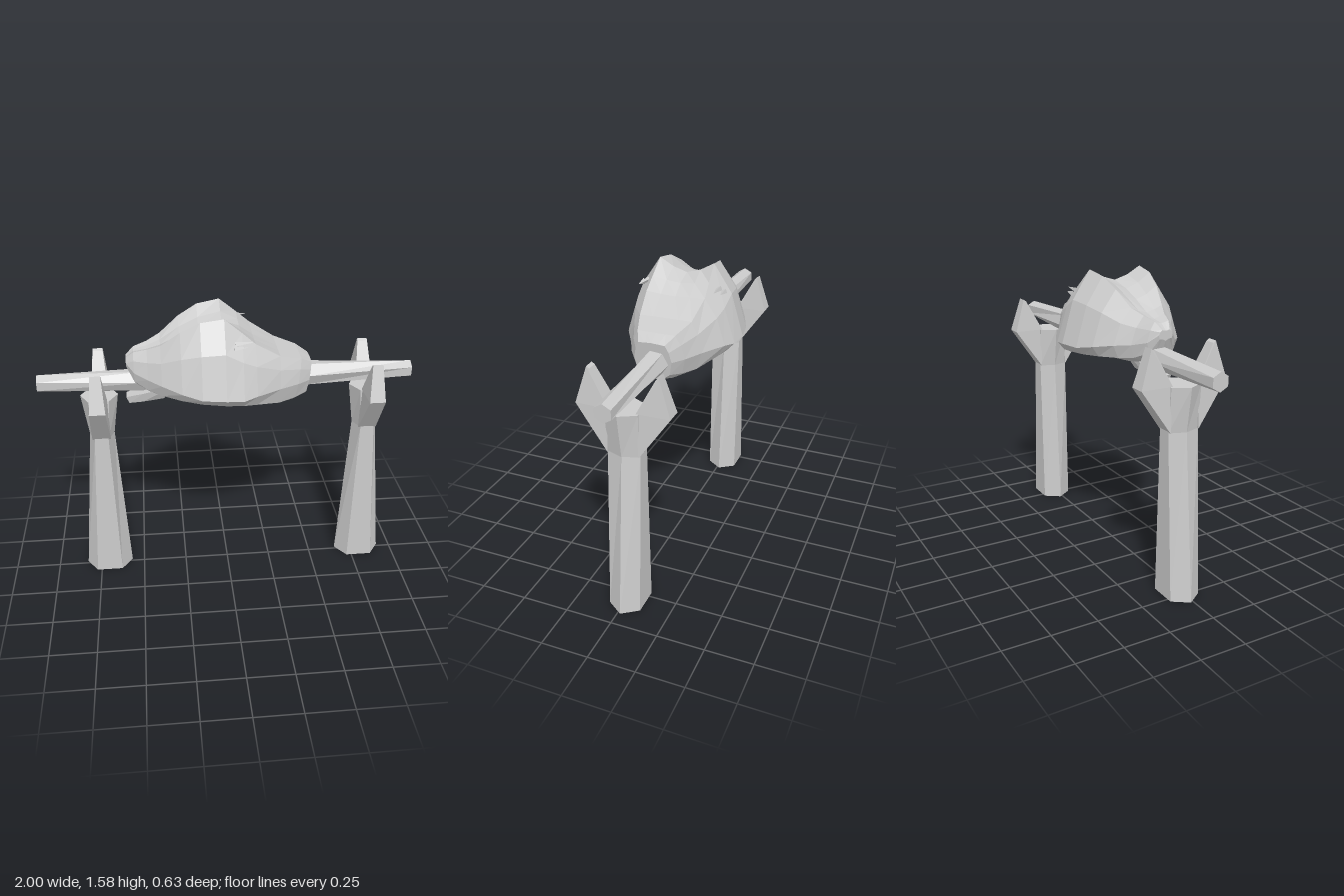
import * as THREE from 'three';
import { ConvexGeometry } from 'three/addons/geometries/ConvexGeometry.js';

const material = new THREE.MeshStandardMaterial({ color: 0xcccccc, flatShading: true, side: THREE.DoubleSide });

function add(parent, name, geometry) {
  const mesh = new THREE.Mesh(geometry, material);
  mesh.name = name;
  parent.add(mesh);
  return mesh;
}

// Skin closed rings of equal length and close both ends with a fan.
function loft(rings) {
  const n = rings[0].length;
  const pos = rings.flat();
  const index = [];
  for (let r = 0; r < rings.length - 1; r++) {
    for (let i = 0; i < n; i++) {
      const a = r * n + i, b = r * n + (i + 1) % n;
      index.push(a, a + n, b, b, a + n, b + n);
    }
  }
  const cap = (start, flip) => {
    const centre = new THREE.Vector3();
    for (let i = 0; i < n; i++) centre.addScaledVector(pos[start + i], 1 / n);
    const c = pos.push(centre) - 1;
    for (let i = 0; i < n; i++) {
      const a = start + i, b = start + (i + 1) % n;
      index.push(...(flip ? [c, b, a] : [c, a, b]));
    }
  };
  cap(0, false);
  cap((rings.length - 1) * n, true);
  const geometry = new THREE.BufferGeometry().setFromPoints(pos);
  geometry.setIndex(index);
  geometry.computeVertexNormals();
  return geometry;
}

const hull = (points) => new ConvexGeometry(points.map((p) => new THREE.Vector3(...p)));

// Roast: x, bottom, top groove, ridge z, ridge y, half width, height of widest point
const stations = [
  [-0.53, 1.28, 1.33, 0.02, 1.335, 0.04, 1.31],
  [-0.49, 1.19, 1.36, 0.04, 1.37, 0.08, 1.27],
  [-0.42, 1.15, 1.37, 0.06, 1.39, 0.13, 1.25],
  [-0.35, 1.14, 1.39, 0.09, 1.42, 0.19, 1.24],
  [-0.25, 1.14, 1.44, 0.12, 1.5, 0.255, 1.22],
  [-0.15, 1.14, 1.48, 0.14, 1.555, 0.295, 1.2],
  [-0.03, 1.13, 1.51, 0.15, 1.575, 0.315, 1.2],
  [0.06, 1.12, 1.48, 0.155, 1.5, 0.3, 1.19],
  [0.13, 1.1, 1.43, 0.16, 1.44, 0.27, 1.2],
  [0.26, 1.06, 1.36, 0.14, 1.36, 0.195, 1.2],
  [0.36, 1.07, 1.325, 0.1, 1.325, 0.145, 1.2],
  [0.425, 1.09, 1.295, 0.07, 1.29, 0.1, 1.2],
];

function roastGeometry() {
  return loft(stations.map(([x, bottom, top, ridgeZ, ridgeY, w, wy]) => {
    const half = [
      [ridgeZ * 0.5, top + (ridgeY - top) * 0.35],
      [ridgeZ, ridgeY],
      [ridgeZ + (w - ridgeZ) * 0.6, wy + (ridgeY - wy) * 0.6],
      [w, wy],
      [w * 0.86, bottom + (wy - bottom) * 0.35],
      [w * 0.5, bottom + 0.01],
    ];
    const outline = [[0, top], ...half, [0, bottom], ...half.map(([z, y]) => [-z, y]).reverse()];
    // the cut end leans outward at the top
    const lean = x > 0.3 ? 0.14 : 0;
    return outline.map(([z, y]) => new THREE.Vector3(x + lean * (y - 1.2), y, z));
  }));
}

// Forked post: six-sided trunk that flares at the crotch, with two pointed prongs
function forkedPost(name, baseX, topX) {
  const post = new THREE.Group();
  post.name = name;
  const ring = (x, y, w) => [[1, 0], [0.55, 1], [-0.55, 1], [-1, 0], [-0.55, -1], [0.55, -1]]
    .map(([u, v]) => new THREE.Vector3(x + u * w, y, -0.015 + v * 0.085));
  add(post, 'trunk', loft([ring(baseX, 0, 0.132), ring(topX, 0.88, 0.067), ring(topX, 1.11, 0.1)]));
  for (const side of [1, -1]) {
    const points = [];
    for (const u of [-1, 1]) {
      points.push(
        [topX + u * 0.05, 0.88, -0.015 + side * 0.08],
        [topX + u * 0.045, 1.11, -0.015 + side * 0.07],
        [topX + u * 0.042, 1.11, -0.015 + side * 0.24],
        [topX + u * 0.027, 1.3, -0.015 + side * 0.18],
        [topX + u * 0.027, 1.29, -0.015 + side * 0.165],
      );
    }
    add(post, side > 0 ? 'frontProng' : 'backProng', hull(points));
  }
  return post;
}

export function createModel() {
  const model = new THREE.Group();
  model.name = 'spitRoast';

  model.add(forkedPost('leftPost', 0.793, 0.77), forkedPost('rightPost', -0.702, -0.685));

  // Spit, thicker and slightly twisted toward the middle
  const spitRing = (x, r, twist) => Array.from({ length: 6 }, (_, i) => {
    const a = -i * Math.PI / 3 + twist;
    return new THREE.Vector3(x, 1.19 + r * Math.sin(a), -0.015 + r * Math.cos(a));
  });
  add(model, 'spit', loft([
    spitRing(-1, 0.048, 0.5), spitRing(-0.45, 0.06, 0.1), spitRing(0.42, 0.067, 0.1), spitRing(1, 0.048, 0.5),
  ]));

  add(model, 'roast', roastGeometry());

  // Flap hanging under the spit at the open end
  const flap = [];
  for (const s of [-1, 1]) {
    flap.push(
      [-0.54, 1.11, s * 0.03], [-0.525, 1.075, s * 0.03], [-0.45, 1.09, s * 0.05],
      [-0.45, 1.14, s * 0.06], [-0.34, 1.11, s * 0.06], [-0.3, 1.19, s * 0.1],
    );
  }
  add(model, 'lowerFlap', hull(flap));

  // Small bone tips poking out on both flanks
  for (const s of [-1, 1]) {
    for (const [x, y, z, length] of [[0.07, 1.465, 0.2, 0.1], [0.05, 1.45, 0.225, 0.07]]) {
      const bone = add(model, 'boneTip', new THREE.ConeGeometry(0.016, length, 4));
      bone.position.set(x, y, s * z);
      bone.rotation.set(s * 0.4, 0, -1.5);
    }
  }
  return model;
}
